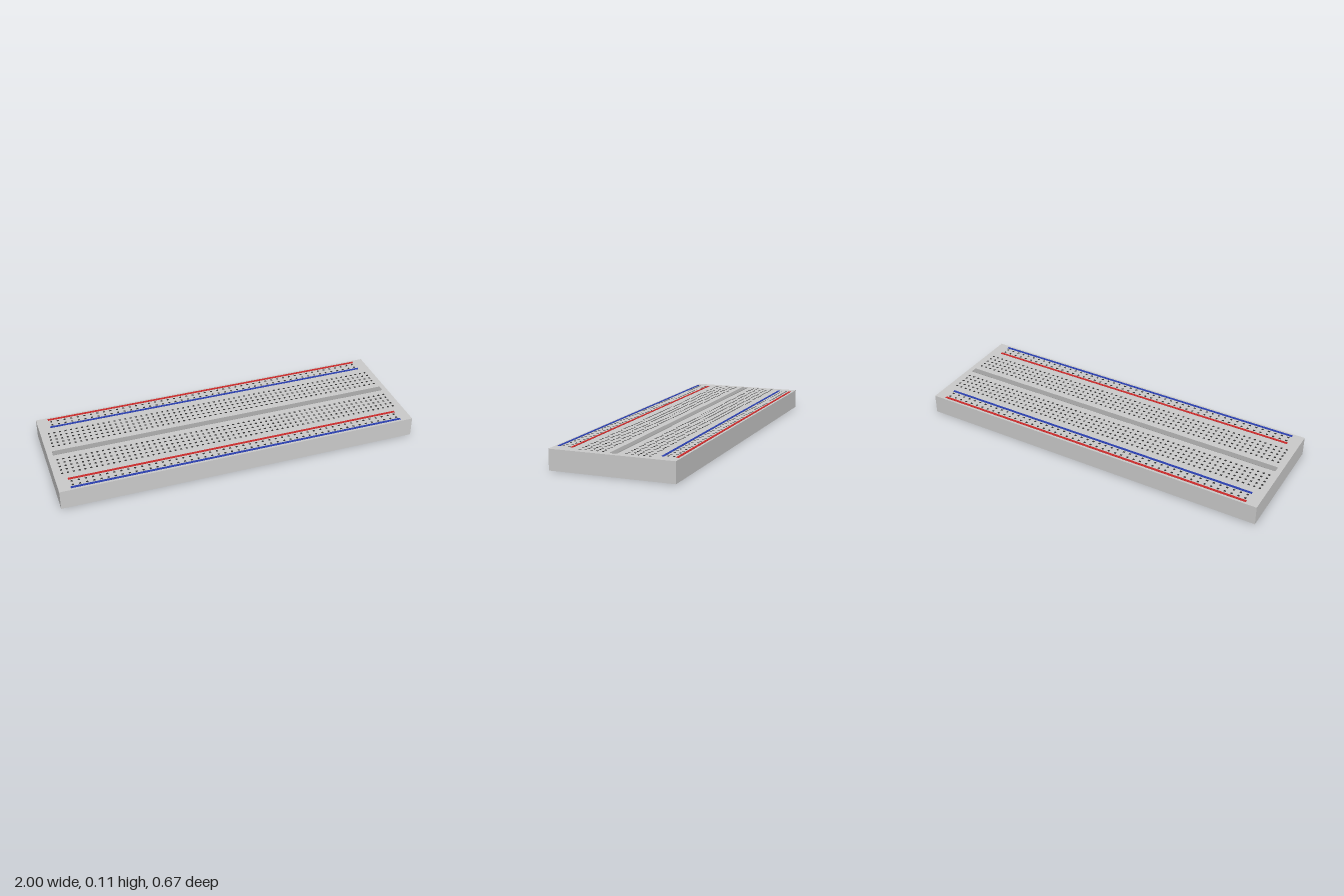
import * as THREE from 'three';
import { mergeGeometries } from 'three/addons/utils/BufferGeometryUtils.js';

const TOP = 0.109;    // height of the board's upper face
const PITCH = 0.0308; // spacing of the contact holes

function material(color) {
  return new THREE.MeshStandardMaterial({ color });
}

// Box standing on height y
function slab(name, width, height, depth, y, z, color) {
  const geometry = new THREE.BoxGeometry(width, height, depth);
  const mesh = new THREE.Mesh(geometry, material(color));
  mesh.name = name;
  mesh.position.set(0, y + height / 2, z);
  return mesh;
}

// Centred rows of small square holes, merged into one mesh
function holeGrid(name, columns, spacing, rows) {
  const holes = [];
  for (const z of rows) {
    for (let i = 0; i < columns; i++) {
      const hole = new THREE.BoxGeometry(0.011, 0.001, 0.011);
      hole.translate((i - (columns - 1) / 2) * spacing, TOP, z);
      holes.push(hole);
    }
  }
  const mesh = new THREE.Mesh(mergeGeometries(holes), material(0x333333));
  mesh.name = name;
  return mesh;
}

export function createModel() {
  const board = new THREE.Group();
  board.name = 'breadboard';

  // Body and centre channel
  board.add(slab('body', 2, TOP, 0.667, 0, 0, 0xcccccc));
  board.add(slab('centreChannel', 1.94, 0.002, 0.036, TOP, 0, 0xa0a0a0));

  for (const [side, sign] of [['front', 1], ['back', -1]]) {
    // Terminal field: five rows either side of the channel
    const rows = [2, 3, 4, 5, 6].map((n) => sign * n * PITCH);
    board.add(holeGrid(side + 'TerminalHoles', 63, PITCH, rows));

    // Power rail: two rows between a red and a blue stripe
    const rail = sign * 0.277;
    board.add(holeGrid(side + 'RailHoles', 50, 0.0376, [rail - PITCH / 2, rail + PITCH / 2]));
    board.add(slab(side + 'RedStripe', 1.872, 0.002, 0.014, TOP, rail - 0.037, 0xcc2a2a));
    board.add(slab(side + 'BlueStripe', 1.872, 0.002, 0.014, TOP, rail + 0.036, 0x2a3fb0));
  }
  return board;
}
